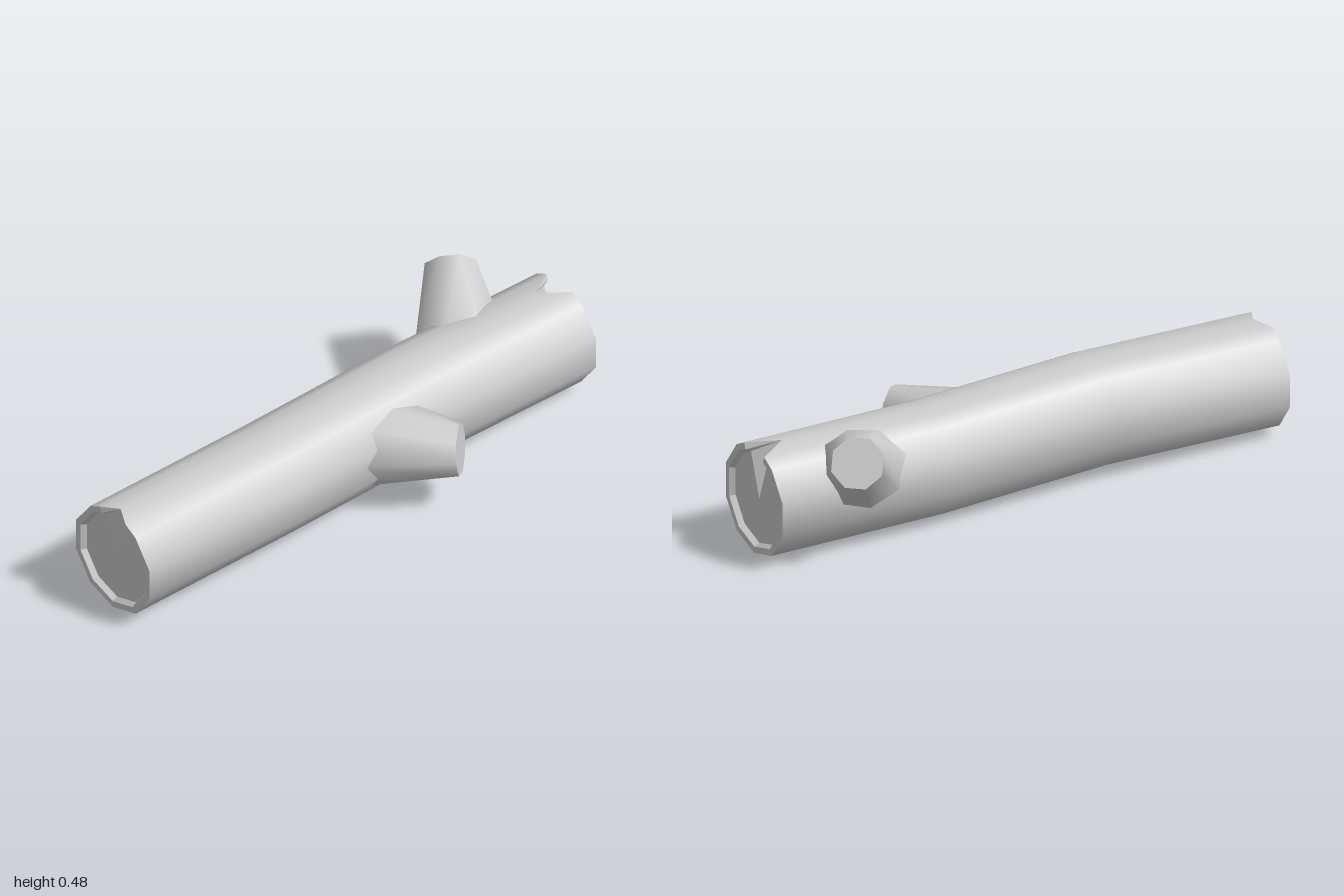
import * as THREE from 'three';

const V = (x, y, z) => new THREE.Vector3(x, y, z);
const RADIUS = 0.2;
// Section angles of the trunk, from the top towards +z; the first is the split
const ANGLES = [0, 19.5, 36, 72, 108, 144, 180, 216, 252, 288, 324, 340.5]
  .map(THREE.MathUtils.degToRad);

function addMesh(group, name, geometry) {
  const mesh = new THREE.Mesh(geometry, new THREE.MeshStandardMaterial({ color: 0xcccccc }));
  mesh.name = name;
  group.add(mesh);
}

// Smooth skin over closed rings of equal point count
function loft(rings) {
  const n = rings[0].length, index = [];
  for (let i = 0; i + 1 < rings.length; i++) {
    for (let j = 0; j < n; j++) {
      const k = (j + 1) % n, a = i * n, b = a + n;
      index.push(a + j, a + k, b + k, a + j, b + k, b + j);
    }
  }
  const geometry = new THREE.BufferGeometry().setFromPoints(rings.flat());
  geometry.setIndex(index);
  geometry.computeVertexNormals();
  return geometry;
}

// Flat-shaded triangles from a list of corner points
function facets(points) {
  const geometry = new THREE.BufferGeometry().setFromPoints(points);
  geometry.computeVertexNormals();
  return geometry;
}

function trunkRing(x, y, z, scale = 1) {
  return ANGLES.map(t => V(x, y + RADIUS * scale * Math.cos(t), z + RADIUS * scale * Math.sin(t)));
}

// Rimmed, recessed cut face with a wedge split running up to its top
function cutEnd(side, y, z, apex) {
  const pts = [];
  const tri = (a, b, c) => pts.push(...(side > 0 ? [a, b, c] : [a, c, b]));
  const inset = side * 0.98;
  const rings = [
    trunkRing(side, y, z), trunkRing(side, y, z, 0.88),
    trunkRing(inset, y, z, 0.83), ANGLES.map(() => V(inset, y, z)),
  ];
  const last = ANGLES.length - 1;
  for (let k = 0; k < 3; k++) {
    const a = rings[k], b = rings[k + 1];
    for (let j = 1; j < last; j++) {
      tri(a[j], a[j + 1], b[j + 1]);
      if (k < 2) tri(a[j], b[j + 1], b[j]);
    }
    // Walls of the split
    tri(apex, a[1], b[1]);
    tri(apex, b[last], a[last]);
  }
  return facets(pts);
}

// Tapered stub: base ring wraps the trunk, tip ring is a tilted octagon
function addBranch(group, name, { x, phi, rx, arc, tip, normal, r }) {
  const n = normal.clone().normalize();
  const e1 = V(1, 0, 0).addScaledVector(n, -n.x).normalize();
  const e2 = n.clone().cross(e1);
  const base = [], end = [];
  for (let j = 0; j < 8; j++) {
    const c = Math.cos(j * Math.PI / 4), s = Math.sin(j * Math.PI / 4);
    const p = phi + arc * s;
    base.push(V(x + rx * c, 0.2 + 0.182 * Math.sin(p), -0.015 + 0.182 * Math.cos(p)));
    end.push(tip.clone().addScaledVector(e1, r * c).addScaledVector(e2, r * s));
  }
  const branch = new THREE.Group();
  branch.name = name;
  addMesh(branch, name + 'Bark', loft([base, end]));
  addMesh(branch, name + 'Cut', facets(end.flatMap((p, j) => [tip, p, end[(j + 1) % 8]])));
  group.add(branch);
}

export function createModel() {
  const log = new THREE.Group();
  log.name = 'log';

  // Gently bent trunk, with the top point of each end pulled in to form the split
  const rings = [
    trunkRing(-1, 0.2, -0.01), trunkRing(-0.33, 0.212, 0.002),
    trunkRing(0.33, 0.2, -0.022), trunkRing(1, 0.2, -0.01),
  ];
  rings[0][0].x = -0.965;
  rings[3][0].x = 0.89;
  addMesh(log, 'trunkBark', loft(rings));
  addMesh(log, 'rightCutEnd', cutEnd(-1, 0.2, -0.01, rings[0][0]));
  addMesh(log, 'leftCutEnd', cutEnd(1, 0.2, -0.01, rings[3][0]));

  // Two sawn-off branches
  addBranch(log, 'frontBranch', {
    x: 0.125, phi: 0.08, rx: 0.165, arc: 0.92,
    tip: V(0.278, 0.225, 0.315), normal: V(0.65, 0.08, 0.76), r: 0.094,
  });
  addBranch(log, 'backBranch', {
    x: 0.645, phi: 2.5, rx: 0.16, arc: 0.92,
    tip: V(0.77, 0.407, -0.31), normal: V(0.48, 0.5, -0.7), r: 0.094,
  });
  return log;
}
